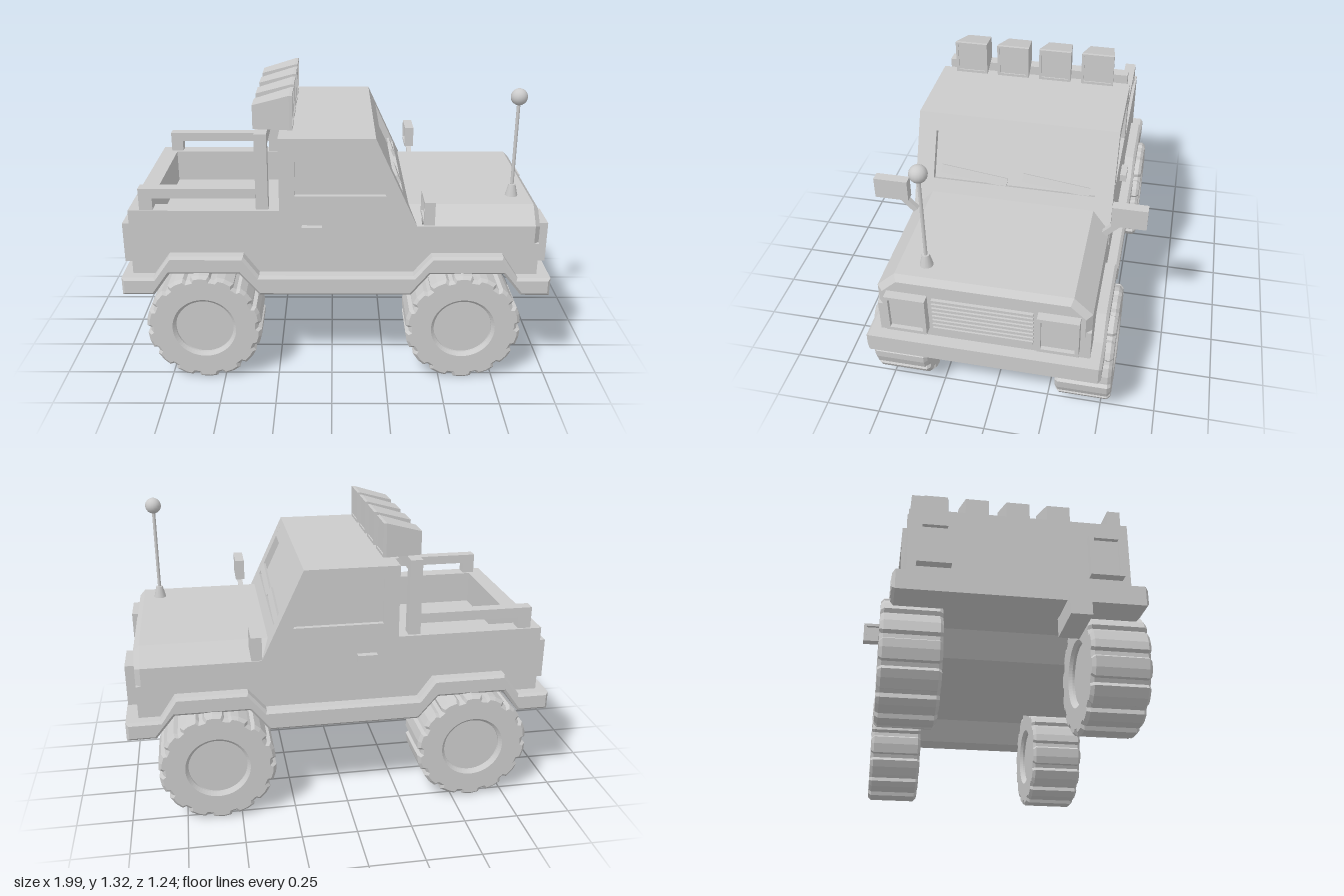
import * as THREE from 'three';

const grey = new THREE.MeshStandardMaterial({ color: 0xcccccc });

export function createModel() {
  const model = new THREE.Group();

  const add = (name, geometry, parent = model) => {
    const mesh = new THREE.Mesh(geometry, grey);
    mesh.name = name;
    parent.add(mesh);
    return mesh;
  };
  const box = (name, x0, x1, y0, y1, z0, z1) => {
    const mesh = add(name, new THREE.BoxGeometry(Math.abs(x1 - x0), y1 - y0, z1 - z0));
    mesh.position.set((x0 + x1) / 2, (y0 + y1) / 2, (z0 + z1) / 2);
    return mesh;
  };
  const shapeOf = (pts, hole) => {
    const shape = new THREE.Shape(pts.map(p => new THREE.Vector2(...p)));
    if (hole) shape.holes.push(new THREE.Path(hole.map(p => new THREE.Vector2(...p))));
    return shape;
  };
  // Solid between two depths, with an optional chamfer cut inside the outline
  const slab = (shape, a, b, bevel = 0) => new THREE.ExtrudeGeometry(shape, {
    depth: b - a - 2 * bevel, bevelEnabled: bevel > 0, bevelThickness: bevel,
    bevelSize: bevel, bevelOffset: -bevel, bevelSegments: 1, curveSegments: 32,
  }).translate(0, 0, a + bevel);
  // Recessed frame with a back plate, facing along x
  const framed = (name, xBase, xFace, y0, y1, z0, z1, rim) => {
    const rect = (d) => [[-z1 + d, y0 + d], [-z0 - d, y0 + d], [-z0 - d, y1 - d], [-z1 + d, y1 - d]];
    const geometry = slab(shapeOf(rect(0), rect(rim)), Math.min(xBase, xFace), Math.max(xBase, xFace));
    add(name + 'Frame', geometry.rotateY(Math.PI / 2));
    box(name + 'Plate', xBase, xBase + 0.6 * (xFace - xBase), y0 + 0.005, y1 - 0.005, z0 + 0.005, z1 - 0.005);
  };

  // Wheel arch outline, rear to front
  const lower = [[-0.86, 0.415], [-0.81, 0.415], [-0.735, 0.52], [-0.42, 0.52], [-0.33, 0.415],
    [0.36, 0.415], [0.445, 0.52], [0.775, 0.52], [0.86, 0.415]];
  const upper = [[0.99, 0.5], [0.84, 0.5], [0.77, 0.605], [0.45, 0.605], [0.37, 0.51],
    [-0.33, 0.51], [-0.4, 0.605], [-0.735, 0.605], [-0.81, 0.5], [-0.955, 0.5]];
  add('bumperAndArchTrim', slab(shapeOf([[-0.955, 0.415], ...lower, [0.99, 0.415], ...upper]), -0.51, 0.51, 0.012));
  const raised = lower.map(([x, y]) => [x, y + 0.04]);
  add('underbody', slab(shapeOf([[-0.91, 0.455], ...raised, [0.935, 0.455], [0.935, 0.65], [-0.91, 0.65]]), -0.455, 0.455));

  // Cab: recessed windscreen in the middle, full-profile sides, skins with windows
  const rear = [[-0.235, 1.145], [-0.235, 0.65], [0.38, 0.65], [0.38, 0.74]];
  const profile = [...rear, [0.19, 1.145]];
  const notched = [...rear, [0.319, 0.87], [0.292, 0.857], [0.198, 1.057], [0.225, 1.07], [0.19, 1.145]];
  add('cabCentre', slab(shapeOf(notched), -0.375, 0.375));
  const sideWindow = [[-0.165, 1.09], [0.15, 1.09], [0.24, 0.88], [-0.165, 0.88]];
  for (const [side, s] of [['left', -1], ['right', 1]]) {
    const inner = s > 0 ? [0.375, 0.435] : [-0.435, -0.375];
    const outer = s > 0 ? [0.435, 0.458] : [-0.458, -0.435];
    add(side + 'CabPillar', slab(shapeOf(profile), ...inner));
    add(side + 'CabSide', slab(shapeOf(profile, sideWindow), ...outer));
  }
  // Wipers
  for (const z of [0.185, -0.195]) {
    const wiper = add('wiper', new THREE.BoxGeometry(0.012, 0.04, 0.31));
    wiper.position.set(0.3, 0.897, z);
    wiper.rotation.set(-0.13, 0, 0.44);
  }

  // Hood with chamfered shoulders
  const hood = shapeOf([[-0.455, 0.6], [0.455, 0.6], [0.455, 0.735], [0.375, 0.812], [-0.375, 0.812], [-0.455, 0.735]]);
  add('hood', slab(hood, 0.2, 0.937, 0.025).rotateY(Math.PI / 2));

  // Cargo bed walls
  box('tailgate', -0.91, -0.83, 0.65, 0.81, -0.455, 0.455);
  for (const s of [-1, 1]) {
    const mirrored = (name, x0, x1, y0, y1, a, b) =>
      box(name, x0, x1, y0, y1, Math.min(s * a, s * b), Math.max(s * a, s * b));
    mirrored('bedWall', -0.83, -0.235, 0.65, 0.81, 0.375, 0.455);
    mirrored('bedRail', -0.86, -0.34, 0.865, 0.91, 0.39, 0.445);
    mirrored('bedRailPost', -0.86, -0.8, 0.81, 0.865, 0.39, 0.445);
    mirrored('rollBarPost', -0.34, -0.285, 0.81, 1.16, 0.385, 0.44);
    mirrored('doorHandle', -0.135, -0.045, 0.705, 0.742, 0.45, 0.488);

    // Lamps front and rear
    const span = (a, b) => [Math.min(s * a, s * b), Math.max(s * a, s * b)];
    framed('headlight', 0.93, 0.978, 0.545, 0.733, ...span(0.235, 0.41), 0.016);
    framed('tailLight', -0.9, -0.95, 0.545, 0.733, ...span(0.28, 0.42), 0.018);

    // Door mirrors on slanted arms
    framed('mirror', 0.438, 0.392, 0.812, 0.915, ...span(0.465, 0.622), 0.014);
    const arm = add('mirrorArm', new THREE.BoxGeometry(0.025, 0.13, 0.028));
    arm.position.set(0.415, 0.785, s * 0.468);
    arm.rotation.x = s * 0.75;
  }
  box('rollBar', -0.34, -0.285, 1.105, 1.16, -0.44, 0.44);

  // Grille slats
  for (let i = 0; i < 8; i++) {
    const y = 0.553 + i * 0.0225;
    box('grilleSlat', 0.92, 0.952, y, y + 0.013, -0.215, 0.215);
  }

  // Roof lamps, tapering to the back
  for (let i = 0; i < 4; i++) {
    const z = -0.305 + i * 0.203;
    const geometry = new THREE.BoxGeometry(0.165, 0.155, 0.152);
    const p = geometry.attributes.position;
    for (let k = 0; k < p.count; k++) {
      if (p.getX(k) > 0) continue;
      p.setZ(k, p.getZ(k) * 0.76);
      if (p.getY(k) > 0) p.setY(k, 0.03);
    }
    geometry.computeVertexNormals();
    add('roofLamp', geometry).position.set(-0.2675, 1.2375, z);
    framed('roofLamp', -0.187, -0.173, 1.16, 1.315, z - 0.076, z + 0.076, 0.012);
  }

  // Wheels: notched tyre with a sunken hub
  const teeth = 14, outline = [];
  for (let i = 0; i < teeth; i++) {
    for (const [f, r] of [[0, 0.247], [0.16, 0.247], [0.24, 0.263], [0.62, 0.265], [0.92, 0.263]]) {
      const a = (i + f) / teeth * Math.PI * 2;
      outline.push([r * Math.cos(a), r * Math.sin(a)]);
    }
  }
  const tyreShape = shapeOf(outline);
  tyreShape.holes.push(new THREE.Path().absarc(0, 0, 0.132, 0, Math.PI * 2, true));
  const tyre = slab(tyreShape, -0.125, 0.125, 0.014);
  const hub = new THREE.CylinderGeometry(0.138, 0.138, 0.2, 32).rotateX(Math.PI / 2);
  for (const x of [-0.585, 0.6]) for (const s of [-1, 1]) {
    const wheel = new THREE.Group();
    wheel.name = 'wheel';
    add('tyre', tyre, wheel);
    add('hub', hub, wheel);
    wheel.position.set(x, 0.264, s * 0.42);
    if (s < 0) wheel.rotation.y = Math.PI;
    model.add(wheel);
  }

  // Antenna
  add('antennaBase', new THREE.CylinderGeometry(0.016, 0.03, 0.058, 12)).position.set(0.832, 0.838, 0.26);
  add('antennaRod', new THREE.CylinderGeometry(0.008, 0.008, 0.4, 8)).position.set(0.832, 1.06, 0.26);
  add('antennaBall', new THREE.SphereGeometry(0.038, 16, 12)).position.set(0.832, 1.28, 0.26);

  // Exhaust stub under the rear bumper
  box('exhaust', -1, -0.78, 0.335, 0.418, 0.175, 0.262);

  return model;
}
